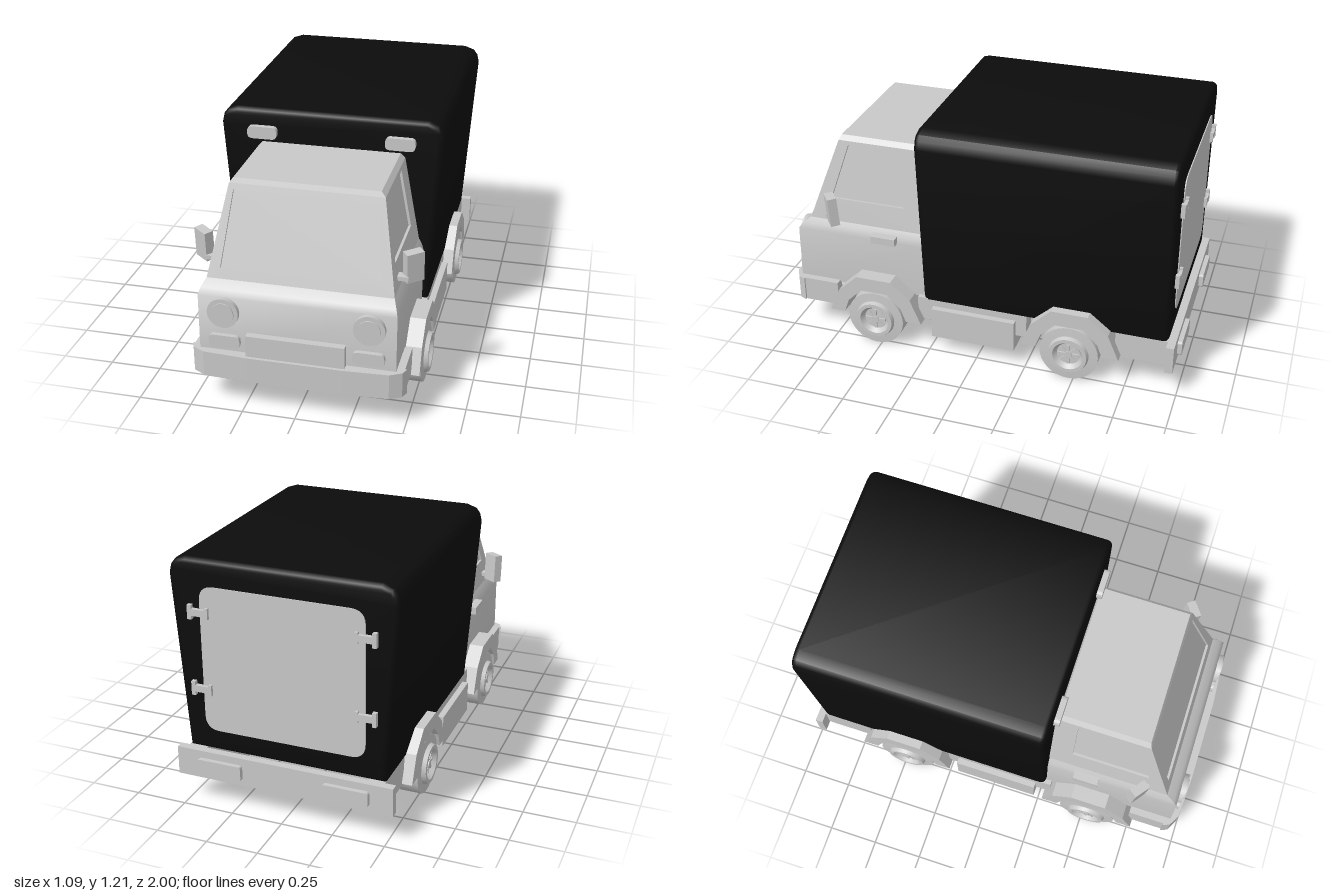
import * as THREE from 'three';
import { toCreasedNormals } from 'three/addons/utils/BufferGeometryUtils.js';

const grey = new THREE.MeshStandardMaterial({ color: 0xc8c8c8, side: THREE.DoubleSide });
grey.name = 'light grey';
const black = new THREE.MeshStandardMaterial({ color: 0x0c0c0c });
black.name = 'black';

function add(parent, name, geometry, material = grey) {
  const mesh = new THREE.Mesh(geometry, material);
  mesh.name = name;
  parent.add(mesh);
  return mesh;
}

// Box given by its limits on each axis
function box(parent, name, [x0, x1], [y0, y1], [z0, z1]) {
  const geo = new THREE.BoxGeometry(x1 - x0, y1 - y0, z1 - z0);
  geo.translate((x0 + x1) / 2, (y0 + y1) / 2, (z0 + z1) / 2);
  return add(parent, name, geo);
}

const outline = (points) => new THREE.Shape(points.map(([a, b]) => new THREE.Vector2(a, b)));
const extrude = (shape, depth) => new THREE.ExtrudeGeometry(shape, { depth, bevelEnabled: false, curveSegments: 6 });

// Rounded plate facing along z
function plate(parent, name, [x0, x1], [y0, y1], [z0, z1], r) {
  const s = new THREE.Shape();
  s.moveTo(x0 + r, y0);
  s.lineTo(x1 - r, y0).quadraticCurveTo(x1, y0, x1, y0 + r);
  s.lineTo(x1, y1 - r).quadraticCurveTo(x1, y1, x1 - r, y1);
  s.lineTo(x0 + r, y1).quadraticCurveTo(x0, y1, x0, y1 - r);
  s.lineTo(x0, y0 + r).quadraticCurveTo(x0, y0, x0 + r, y0);
  const geo = extrude(s, z1 - z0);
  geo.translate(0, 0, z0);
  return add(parent, name, geo);
}

// Walls through rectangular rings [y, halfWidth, back, front], optionally capped
function loft(rings, cap) {
  const corners = rings.map(([y, w, b, f]) => [[-w, y, f], [w, y, f], [w, y, b], [-w, y, b]]);
  const pos = [];
  const quad = (a, b, c, d) => pos.push(...a, ...b, ...c, ...a, ...c, ...d);
  for (let i = 0; i + 1 < corners.length; i++)
    for (let k = 0; k < 4; k++) {
      const n = (k + 1) % 4;
      quad(corners[i][k], corners[i][n], corners[i + 1][n], corners[i + 1][k]);
    }
  if (cap) quad(...corners[corners.length - 1]);
  const geo = new THREE.BufferGeometry();
  geo.setAttribute('position', new THREE.Float32BufferAttribute(pos, 3));
  return toCreasedNormals(geo, 0.6);
}

// Moves every vertex of a geometry by a rule
function remap(geo, rule) {
  const p = geo.attributes.position;
  for (let i = 0; i < p.count; i++) p.setXYZ(i, ...rule(p.getX(i), p.getY(i), p.getZ(i)));
  geo.computeVertexNormals();
  return geo;
}

// Sloping cab planes above the waist
const frontZ = (y) => 0.885 - (y - 0.62) * 0.145 / 0.41;
const sideX = (y) => 0.43 - (y - 0.62) * 0.075 / 0.41;

// Framed opening with glass set slightly back
function windowPanel(parent, name, edge, opening, rule) {
  const frame = outline(edge);
  frame.holes.push(outline(opening));
  add(parent, name + 'Frame', remap(extrude(frame, 0.018), rule));
  add(parent, name + 'Glass', remap(extrude(outline(opening), 0.004), (a, b, c) => rule(a, b, c + 0.012)));
}

function buildWheel(parent, z) {
  const wheel = new THREE.Group();
  wheel.name = 'wheel';
  wheel.position.set(0.41, 0.145, z);
  const profile = [[0, 0.03], [0.09, 0.03], [0.1, 0], [0.138, 0], [0.145, 0.008], [0.145, 0.112], [0.1, 0.115],
    [0.093, 0.135], [0.075, 0.135], [0.058, 0.112], [0, 0.112]];
  const tyre = new THREE.LatheGeometry(profile.map(([r, h]) => new THREE.Vector2(r, h)), 32);
  add(wheel, 'tyre', toCreasedNormals(tyre.rotateZ(-Math.PI / 2), 0.5));
  for (let i = 0; i < 4; i++) {
    const spoke = box(wheel, 'spoke', [0.108, 0.12], [-0.053, 0.053], [-0.006, 0.006]);
    spoke.rotation.x = i * Math.PI / 4;
  }
  add(wheel, 'hub', new THREE.CylinderGeometry(0.018, 0.018, 0.02, 12).rotateZ(-Math.PI / 2).translate(0.115, 0, 0));
  parent.add(wheel);
}

function buildArch(parent, z) {
  const geo = extrude(outline([[0.24, 0.16], [0.19, 0.28], [0.09, 0.375], [-0.09, 0.375], [-0.19, 0.29],
    [-0.245, 0.16], [-0.165, 0.16], [-0.14, 0.23], [-0.07, 0.3], [0.07, 0.3], [0.14, 0.23], [0.165, 0.16]]), 0.13);
  add(parent, 'wheelArch', remap(geo, (a, b, c) => [0.53 - c, b, z + a]));
}

function buildMirror(parent) {
  const mirror = new THREE.Group();
  mirror.name = 'mirror';
  const head = add(mirror, 'mirrorHousing', new THREE.BoxGeometry(0.085, 0.145, 0.045));
  head.position.set(0.485, 0.715, 0.74);
  head.rotation.set(0.08, 0.65, 0);
  box(mirror, 'mirrorArm', [0.4, 0.47], [0.655, 0.675], [0.74, 0.785]);
  parent.add(mirror);
}

function buildSide(s) {
  const side = new THREE.Group();
  side.name = s > 0 ? 'leftSide' : 'rightSide';
  side.scale.x = s;

  // Running gear and skirts
  for (const z of [0.525, -0.475]) {
    buildWheel(side, z);
    buildArch(side, z);
  }
  box(side, 'sideSkirt', [0.4, 0.48], [0.165, 0.29], [-0.25, 0.31]);
  box(side, 'sideTank', [0.385, 0.51], [0.09, 0.25], [-0.195, 0.23]);
  box(side, 'rearSkirt', [0.4, 0.48], [0.15, 0.285], [-0.95, -0.69]);
  box(side, 'frontApron', [0.44, 0.49], [0.165, 0.29], [0.74, 0.92]);

  // Cab side
  windowPanel(side, 'sideWindow',
    [[0.28, 0.62], [0.885, 0.62], [0.74, 1.03], [0.28, 1.03]],
    [[0.39, 0.735], [0.775, 0.735], [0.69, 1.01], [0.39, 1.01]],
    (a, b, c) => [sideX(b) - c, b, a]);
  box(side, 'doorHandle', [0.44, 0.485], [0.557, 0.595], [0.42, 0.545]);
  buildMirror(side);

  // Lamps
  const lamp = (name, r, z0, z1) => {
    const geo = new THREE.CylinderGeometry(r, r, z1 - z0, 24).rotateX(Math.PI / 2);
    add(side, name, geo.translate(0.335, 0.49, (z0 + z1) / 2));
  };
  lamp('headlightRing', 0.073, 0.94, 0.968);
  lamp('headlightLens', 0.053, 0.94, 0.974);
  plate(side, 'indicator', [0.26, 0.405], [0.313, 0.376], [0.94, 0.97], 0.025);
  plate(side, 'roofLamp', [0.262, 0.405], [1.07, 1.13], [0.27, 0.308], 0.025);
  plate(side, 'rearLamp', [0.2, 0.42], [0.175, 0.25], [-1, -0.97], 0.015);

  // Rear door hinges
  for (const y of [0.965, 0.595]) {
    box(side, 'hingeStrap', [0.35, 0.44], [y - 0.016, y + 0.016], [-0.965, -0.94]);
    box(side, 'hingePlate', [0.425, 0.445], [y - 0.034, y + 0.034], [-0.965, -0.94]);
    box(side, 'hingeKnuckle', [0.345, 0.36], [y - 0.026, y + 0.026], [-0.965, -0.94]);
  }
  return side;
}

export function createModel() {
  const truck = new THREE.Group();
  truck.name = 'boxTruck';

  // Cargo box, wider at the top, with rounded edges
  const half = [[0.48, 0.285], [0.54, 1.13], [0.53, 1.17], [0.51, 1.195], [0.46, 1.212]];
  const section = outline([...half, ...half.map(([x, y]) => [-x, y]).reverse()]);
  const cargo = new THREE.ExtrudeGeometry(section, {
    depth: 1.175, bevelSize: 0.025, bevelOffset: -0.025, bevelThickness: 0.025, bevelSegments: 3,
  });
  add(truck, 'cargoBox', toCreasedNormals(cargo.translate(0, 0, -0.92), 0.6), black);
  plate(truck, 'rearDoor', [-0.39, 0.39], [0.39, 1.09], [-0.95, -0.94], 0.07);

  // Cab shell, windscreen and roof
  add(truck, 'cabBody', loft([[0.28, 0.455, 0.282, 0.95], [0.56, 0.455, 0.282, 0.945],
    [0.59, 0.446, 0.282, 0.925], [0.62, 0.43, 0.282, 0.885]], false));
  windowPanel(truck, 'windscreen',
    [[-0.43, 0.62], [0.43, 0.62], [0.355, 1.03], [-0.355, 1.03]],
    [[-0.37, 0.665], [0.37, 0.665], [0.333, 1.002], [-0.333, 1.002]],
    (a, b, c) => [-a, b, frontZ(b) - c]);
  add(truck, 'cabRoof', loft([[1.03, 0.355, 0.282, 0.74], [1.053, 0.335, 0.29, 0.73]], true));

  // Front bumper wrapping round the corners
  const bow = [[0.5, 0.92], [0.485, 0.955], [0.43, 0.985], [0.22, 0.997]];
  const inner = [[0.44, 0.92], [0.41, 0.945]];
  const mirrored = (pts) => pts.map(([x, z]) => [-x, z]).reverse();
  const bumper = extrude(outline([...bow, ...mirrored(bow), ...mirrored(inner).reverse(), ...inner.slice().reverse()]), 0.125);
  add(truck, 'frontBumper', remap(bumper, (a, b, c) => [a, 0.29 - c, b]));
  box(truck, 'frontPlate', [-0.228, 0.228], [0.285, 0.395], [0.94, 0.982]);

  box(truck, 'rearBumper', [-0.53, 0.53], [0.145, 0.285], [-0.978, -0.94]);

  truck.add(buildSide(1), buildSide(-1));
  return truck;
}
